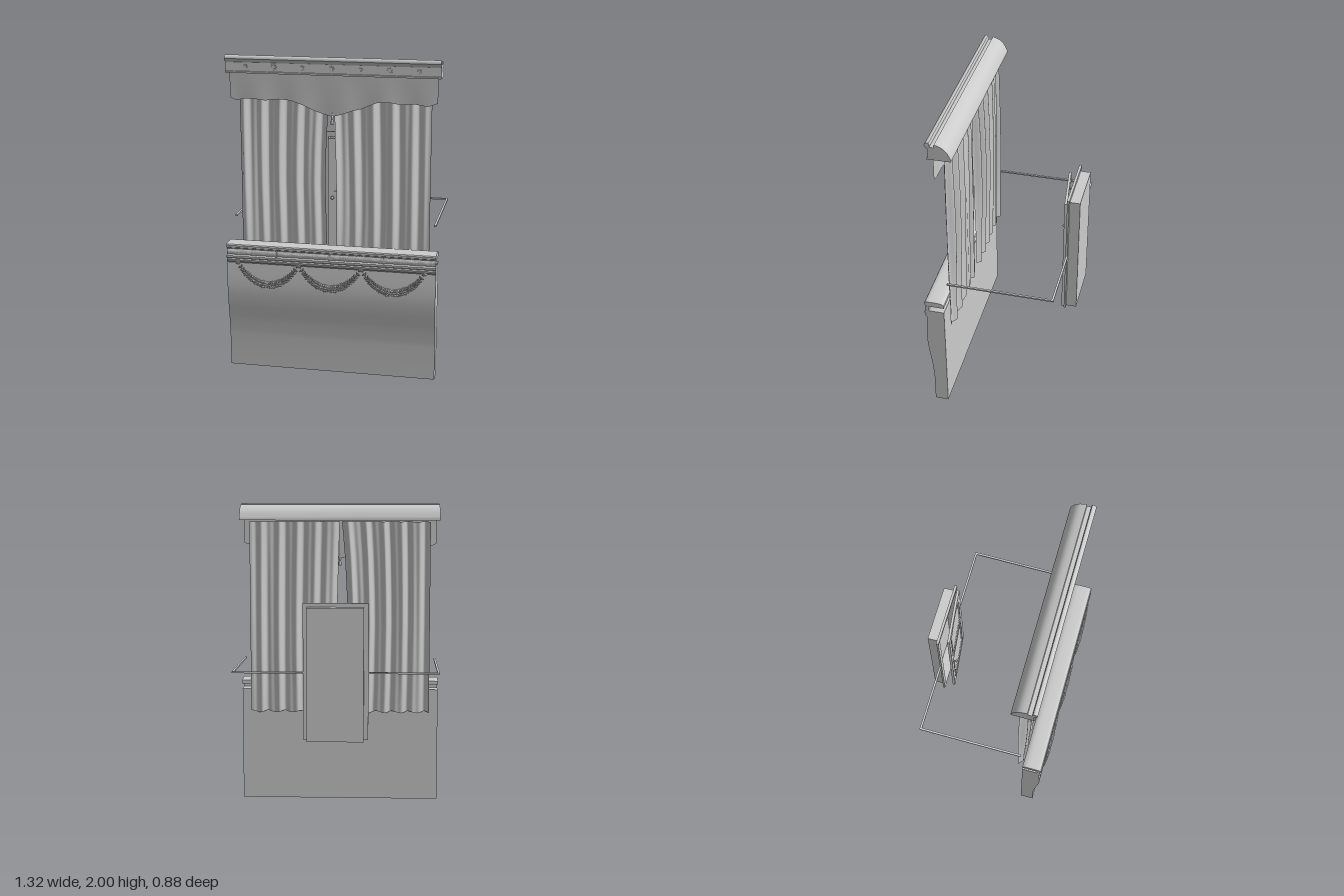
import * as THREE from 'three';
import { mergeGeometries, toCreasedNormals } from 'three/addons/utils/BufferGeometryUtils.js';

const plaster = new THREE.MeshStandardMaterial({ color: 0xcccccc, side: THREE.DoubleSide });
plaster.name = 'plaster grey';

function add(parent, name, geometry, x = 0, y = 0, z = 0) {
  const mesh = new THREE.Mesh(geometry, plaster);
  mesh.name = name;
  mesh.position.set(x, y, z);
  parent.add(mesh);
  return mesh;
}
const box = (w, h, d) => new THREE.BoxGeometry(w, h, d);

// Extrudes a [z, y] profile along x, centred on x = 0
function moulding(profile, width) {
  const shape = new THREE.Shape(profile.map(([z, y]) => new THREE.Vector2(z, y)));
  const g = new THREE.ExtrudeGeometry(shape, { depth: width, bevelEnabled: false });
  g.translate(0, 0, -width / 2).rotateY(-Math.PI / 2);
  return toCreasedNormals(g, 0.5);
}

// Smooth run of profile points
const smooth = (pts, n) => new THREE.SplineCurve(pts.map(p => new THREE.Vector2(...p)))
  .getPoints(n).map(p => [p.x, p.y]);

// Piecewise linear lookup in [key, value] pairs
function lookup(table, t) {
  let i = 1;
  while (i < table.length - 1 && t > table[i][0]) i++;
  const [a, va] = table[i - 1], [b, vb] = table[i];
  return va + (vb - va) * THREE.MathUtils.clamp((t - a) / (b - a), 0, 1);
}

// Grid whose vertices are placed by rule(u, v), u and v from 0 to 1
function sheet(nu, nv, rule) {
  const g = new THREE.PlaneGeometry(1, 1, nu, nv);
  const p = g.attributes.position;
  for (let i = 0; i < p.count; i++) p.setXYZ(i, ...rule(p.getX(i) + 0.5, p.getY(i) + 0.5));
  g.computeVertexNormals();
  return g;
}

function rectPath(PathType, x0, y0, x1, y1, arch = 0) {
  const p = new PathType();
  p.moveTo(x0, y0);
  p.lineTo(x1, y0);
  p.lineTo(x1, y1 - arch);
  if (arch) p.quadraticCurveTo((x0 + x1) / 2, y1 + arch, x0, y1 - arch);
  else p.lineTo(x0, y1);
  p.closePath();
  return p;
}
const extrude = (shape, depth) =>
  new THREE.ExtrudeGeometry(shape, { depth, bevelEnabled: false, curveSegments: 12 });

function buildPelmet() {
  const g = new THREE.Group();
  g.name = 'pelmet';
  add(g, 'pelmetMoulding', moulding([
    [0.35, 1.89], [0.215, 1.89],
    ...smooth([[0.215, 1.905], [0.235, 1.945], [0.265, 1.975], [0.31, 1.992]], 10),
    [0.312, 1.972], [0.338, 1.972], [0.338, 1.99],
    ...smooth([[0.342, 1.998], [0.352, 2.0], [0.365, 1.992], [0.368, 1.978], [0.36, 1.968]], 8),
    [0.352, 1.962], [0.348, 1.955], [0.35, 1.902], [0.355, 1.9], [0.355, 1.89],
  ], 1.32));
  // Rosettes, alternately small and large
  for (let i = -3; i <= 3; i++) {
    const r = i % 2 === 0 ? 0.02 : 0.014;
    const s = new THREE.Shape();
    for (let k = 0; k < 16; k++) {
      const a = k * Math.PI / 8, q = k % 2 ? r * 0.45 : r;
      s[k ? 'lineTo' : 'moveTo'](q * Math.cos(a), q * Math.sin(a));
    }
    add(g, 'rosette', extrude(s, 0.008), i * 0.177, 1.932, 0.348);
  }
  return g;
}

function buildDrapery() {
  const g = new THREE.Group();
  g.name = 'drapery';
  // Valance with scalloped hem
  const hem = [[-0.64, 1.735], [-0.6, 1.715], [-0.56, 1.728], [-0.5, 1.732], [-0.42, 1.722], [-0.34, 1.732],
    [-0.26, 1.727], [-0.19, 1.705], [-0.12, 1.672], [-0.05, 1.648], [0, 1.637], [0.05, 1.65], [0.12, 1.675],
    [0.18, 1.69], [0.27, 1.73], [0.35, 1.735], [0.42, 1.722], [0.5, 1.73], [0.58, 1.718], [0.64, 1.74]];
  add(g, 'valance', sheet(80, 6, (u, v) => {
    const x = -0.64 + 1.28 * u, low = lookup(hem, x);
    return [x, low + (1.895 - low) * v, 0.325 + 0.003 * (1 - v) * Math.sin(x * 24)];
  }));
  // Curtains with deepening folds and a narrow parting
  const edges = {
    rightCurtain: [-0.6, [[0.6, -0.035], [0.8, -0.044], [1.2, -0.052], [1.4, -0.047], [1.64, -0.035], [1.88, -0.015]]],
    leftCurtain: [0.6, [[0.6, 0.012], [1.0, 0.02], [1.3, 0.017], [1.64, 0.008], [1.88, 0.0]]],
  };
  for (const [name, [outer, inner]] of Object.entries(edges)) {
    const side = Math.sign(outer);
    add(g, name, sheet(90, 24, (u, v) => {
      const y = 0.605 + 1.275 * v;
      const x0 = side < 0 ? outer : lookup(inner, y);
      const x1 = side < 0 ? lookup(inner, y) : outer;
      const amp = 0.55 + 0.45 * Math.sin(Math.PI * Math.min(1, 1.1 - v));
      const fold = 0.019 * Math.sin(u * 33 + side + 0.5 * v) + 0.010 * Math.sin(u * 61 + 2 * side);
      return [x0 + (x1 - x0) * u, y + (1 - v) * 0.006 * Math.sin(u * 33), 0.271 + amp * fold];
    }));
  }
  // Tassel at the middle of the hem
  const tassel = [[0, 0], [0.011, 0], [0.009, 0.025], [0.004, 0.032], [0.009, 0.04], [0.008, 0.05], [0.002, 0.056], [0.002, 0.075]];
  add(g, 'tassel', new THREE.LatheGeometry(tassel.map(p => new THREE.Vector2(...p)), 10), 0, 1.59, 0.327);
  return g;
}

function buildParapet() {
  const g = new THREE.Group();
  g.name = 'parapet';
  add(g, 'parapetPanel', moulding([
    [0.3, 0], [0.385, 0], [0.385, 0.21],
    ...smooth([[0.387, 0.24], [0.396, 0.33], [0.411, 0.43], [0.419, 0.52], [0.418, 0.6], [0.41, 0.7]], 20),
    [0.42, 0.71], [0.422, 0.722], [0.416, 0.728], [0.426, 0.735], [0.426, 0.747], [0.41, 0.755], [0.3, 0.755],
  ], 1.32));
  add(g, 'parapetCap', moulding([
    [0.3, 0.79], [0.415, 0.79], [0.418, 0.798], [0.425, 0.802], [0.425, 0.814],
    ...smooth([[0.42, 0.821], [0.405, 0.825], [0.36, 0.826], [0.32, 0.823], [0.3, 0.813]], 10),
  ], 1.32));
  // Rounded frieze with foliage relief
  add(g, 'frieze', moulding([[0.398, 0.75], [0.412, 0.75], [0.417, 0.76], [0.419, 0.77], [0.417, 0.782], [0.412, 0.793], [0.398, 0.793]], 1.32));
  add(g, 'friezeFoliage', sheet(260, 8, (u, v) => {
    const x = -0.655 + 1.31 * u;
    const bump = Math.sin(x * 190 + 3 * Math.sin(v * 7)) * Math.sin(v * 13 + 4 * Math.sin(x * 67));
    return [x, 0.75 + 0.043 * v, 0.411 + 0.009 * Math.sin(Math.PI * v) + 0.004 * bump];
  }));
  for (const x of [-0.34, 0, 0.34]) add(g, 'friezeBand', box(0.008, 0.042, 0.022), x, 0.771, 0.413);
  return g;
}

// Leaf garlands hung in three swags
function buildGarlands() {
  const g = new THREE.Group();
  g.name = 'garlands';
  for (const cx of [-0.395, 0, 0.395]) {
    const leaves = [];
    const n = 28;
    for (let i = 0; i <= n; i++) {
      const t = i / n * 2 - 1, full = 1 - t * t;
      const x = t * 0.19, y = 0.70 - 0.132 * Math.pow(full, 0.85);
      const along = Math.atan2(0.27 * t, 0.19);
      for (const k of [-1, 0, 1]) {
        const size = 0.55 + 0.45 * full;
        const leaf = new THREE.SphereGeometry(1, 6, 4);
        leaf.scale(0.017 * size, 0.0065 * size, 0.006);
        leaf.rotateY(0.35 * Math.sin(i * 2.3 + k));
        leaf.rotateZ(along + k * (t < 0 ? -1 : 1) * (0.65 + 0.25 * Math.sin(i * 1.7)));
        const off = k * 0.013 * size;
        leaf.translate(x - Math.sin(along) * off, y + Math.cos(along) * off, 0.419 + (k ? 0.004 : 0.012) * (0.5 + 0.5 * full));
        leaves.push(leaf);
      }
    }
    add(g, 'garland', mergeGeometries(leaves), cx);
  }
  // Knots where the swags meet
  for (const x of [-0.592, -0.2, 0.2, 0.592]) {
    const knot = add(g, 'garlandKnot', new THREE.SphereGeometry(0.013, 8, 6), x, 0.702, 0.414);
    knot.scale.z = 0.7;
  }
  return g;
}

function buildRails() {
  const g = new THREE.Group();
  g.name = 'wallRails';
  for (const s of [-1, 1]) {
    add(g, 'sideRail', box(0.013, 0.01, 0.665), s * 0.634, 0.97, -0.0525);
    add(g, 'backRail', box(0.44, 0.01, 0.013), s * 0.42, 0.97, -0.378);
  }
  return g;
}

function buildDoorway() {
  const g = new THREE.Group();
  g.name = 'doorway';
  // Recess: a box without its front face
  const recess = box(0.35, 0.825, 0.068);
  const idx = Array.from(recess.index.array);
  recess.setIndex([...idx.slice(0, 24), ...idx.slice(30)]);
  recess.clearGroups();
  add(g, 'doorRecess', recess, 0, 0.9625, -0.411);
  // Surround
  const surround = rectPath(THREE.Shape, -0.203, 0.55, 0.2, 1.385);
  surround.holes.push(rectPath(THREE.Path, -0.172, 0.56, 0.172, 1.365));
  add(g, 'doorSurround', extrude(surround, 0.012), 0, 0, -0.38);
  add(g, 'doorLintel', box(0.403, 0.02, 0.016), -0.0015, 1.39, -0.374);
  // Leaf standing ajar, hinged on the left
  const door = new THREE.Group();
  door.name = 'door';
  door.position.set(0.187, 0, -0.362);
  door.rotation.y = 0.12;
  const frame = rectPath(THREE.Shape, -0.355, 0.55, 0, 1.365);
  frame.holes.push(rectPath(THREE.Path, -0.315, 1.0, -0.04, 1.325, 0.05));
  frame.holes.push(rectPath(THREE.Path, -0.315, 0.61, -0.04, 0.94));
  add(door, 'doorFrame', extrude(frame, 0.016), 0, 0, -0.004);
  add(door, 'doorBacking', box(0.34, 0.8, 0.006), -0.1775, 0.957, 0.002);
  add(door, 'upperPanel', extrude(rectPath(THREE.Shape, -0.295, 1.02, -0.06, 1.305, 0.045), 0.005), 0, 0, 0.004);
  add(door, 'lowerPanel', box(0.235, 0.29, 0.005), -0.1775, 0.775, 0.0065);
  // Knob
  const knob = [[0, 0], [0.01, 0], [0.004, 0.005], [0.004, 0.015], [0.011, 0.02], [0.01, 0.027], [0, 0.03]];
  add(door, 'doorKnob', new THREE.LatheGeometry(knob.map(p => new THREE.Vector2(...p)), 12)
    .rotateX(Math.PI / 2), -0.325, 0.96, 0.011);
  g.add(door);
  return g;
}

export function createModel() {
  const model = new THREE.Group();
  model.name = 'curtainedBooth';
  model.add(buildPelmet(), buildDrapery(), buildParapet(), buildGarlands(), buildRails(), buildDoorway());
  return model;
}
